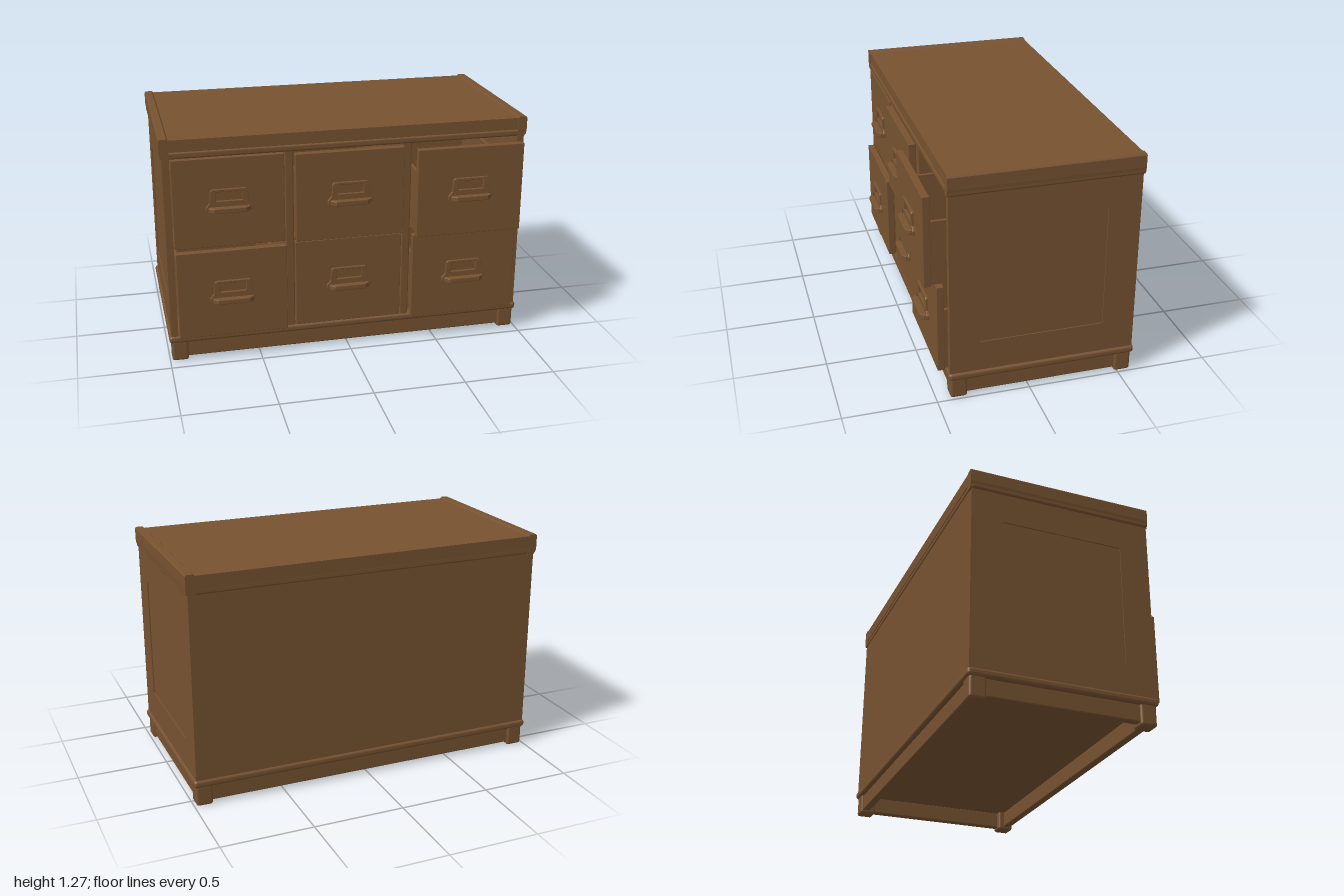
import * as THREE from 'three';
import { RoundedBoxGeometry } from 'three/addons/geometries/RoundedBoxGeometry.js';

const wood = new THREE.MeshStandardMaterial({ color: 0x765230 });
wood.name = 'brown wood';

const BACK = -0.575, FRONT = 0.428;

function add(parent, name, geometry, x = 0, y = 0, z = 0) {
  const mesh = new THREE.Mesh(geometry, wood);
  mesh.name = name;
  mesh.position.set(x, y, z);
  parent.add(mesh);
  return mesh;
}

// Box given by its limits, with optional rounded edges
function block(parent, name, [x0, x1], [y0, y1], [z0, z1], radius = 0) {
  const size = [x1 - x0, y1 - y0, z1 - z0];
  const geometry = radius
    ? new RoundedBoxGeometry(...size, 3, radius)
    : new THREE.BoxGeometry(...size);
  return add(parent, name, geometry, (x0 + x1) / 2, (y0 + y1) / 2, (z0 + z1) / 2);
}

const shapeOf = (points) => new THREE.Shape(points.map(([x, y]) => new THREE.Vector2(x, y)));
const extrude = (shape, depth, bevel = 0) => new THREE.ExtrudeGeometry(shape, {
  depth, bevelEnabled: bevel > 0, bevelSize: bevel, bevelThickness: bevel, bevelSegments: 2, bevelOffset: -bevel,
});

// Label frame with a flared pull; the origin is on the drawer face
function createHandle() {
  const handle = new THREE.Group();
  handle.name = 'handle';
  const frame = shapeOf([[-0.125, 0], [0.125, 0], [0.125, 0.022], [0.105, 0.045], [0.1, 0.11],
    [0.09, 0.12], [-0.09, 0.12], [-0.1, 0.11], [-0.105, 0.045], [-0.125, 0.022]]);
  frame.holes.push(shapeOf([[-0.07, 0.055], [-0.07, 0.105], [0.07, 0.105], [0.07, 0.055]]));
  add(handle, 'labelFrame', extrude(frame, 0.01, 0.003));

  // Cup above the grip, sloping out from the frame
  const cup = shapeOf([[0, 0.05], [0.018, 0.045], [0.022, 0.02], [0.022, 0], [0, 0]]);
  add(handle, 'pullCup', extrude(cup, 0.18).rotateY(-Math.PI / 2).translate(0.09, 0, 0)
    .scale(-1, 1, 1).rotateY(0), 0, 0, 0).visible = true;

  // Grip lip, narrower toward its outer edge
  const lip = shapeOf([[-0.115, 0], [0.115, 0], [0.11, 0.025], [0.085, 0.045], [-0.085, 0.045], [-0.11, 0.025]]);
  add(handle, 'pullLip', extrude(lip, 0.02, 0.004).rotateX(Math.PI / 2), 0, 0.02, 0);
  return handle;
}

// Open-topped drawer; the origin is at the bottom centre of its front face
function createDrawer() {
  const drawer = new THREE.Group();
  drawer.name = 'drawer';
  const w = 0.297, inner = 0.28, t = 0.018, deep = -0.9, h = 0.35;
  block(drawer, 'drawerFront', [-w, w], [0, 0.494], [-0.038, 0], 0.003);
  for (const s of [-1, 1]) {
    const xs = s < 0 ? [-inner, -inner + t] : [inner - t, inner];
    block(drawer, 'drawerSide', xs, [0, h], [deep, -0.037]);
  }
  block(drawer, 'drawerBottom', [-inner + t, inner - t], [0.005, 0.02], [deep, -0.037]);
  block(drawer, 'drawerBack', [-inner + t, inner - t], [0.02, h], [deep, deep + t]);
  const handle = createHandle();
  handle.position.y = 0.205;
  drawer.add(handle);
  return drawer;
}

// Side wall with a shallow recessed panel
function createSide(s) {
  const side = new THREE.Group();
  side.name = s > 0 ? 'leftSide' : 'rightSide';
  const wall = shapeOf([[BACK, 0.14], [FRONT, 0.14], [FRONT, 1.17], [BACK, 1.17]]);
  wall.holes.push(shapeOf([[-0.4, 0.32], [-0.4, 0.995], [0.265, 0.995], [0.265, 0.32]]));
  // Shape x runs along world z
  const geometry = extrude(wall, 0.038).rotateY(-Math.PI / 2);
  add(side, 'sideFrame', geometry, s > 0 ? 0.988 : -0.95);
  block(side, 'sidePanel', s > 0 ? [0.952, 0.982] : [-0.982, -0.952], [0.31, 1.005], [-0.41, 0.275]);

  // Moulded rail capping the side
  const rail = shapeOf([[0.95, 1.158], [0.985, 1.158], [0.997, 1.175], [1, 1.2], [1, 1.262],
    [0.994, 1.27], [0.958, 1.27], [0.95, 1.262]].map(([x, y]) => [s * x, y]));
  add(side, 'topRail', extrude(rail, 1.017), 0, 0, -0.583);
  return side;
}

export function createModel() {
  const model = new THREE.Group();
  model.name = 'drawerCabinet';

  // Carcass
  for (const s of [-1, 1]) {
    model.add(createSide(s));
    block(model, 'divider', [s * 0.325 - 0.024, s * 0.325 + 0.024], [0.14, 1.17], [BACK + 0.02, FRONT], 0.008);
  }
  block(model, 'backPanel', [-0.96, 0.96], [0.14, 1.17], [BACK, BACK + 0.02]);
  block(model, 'shelf', [-0.96, 0.96], [0.649, 0.659], [BACK + 0.02, 0.385]);
  block(model, 'topSlab', [-0.955, 0.955], [1.19, 1.262], [-0.583, FRONT]);
  block(model, 'topMoulding', [-0.998, 0.998], [1.16, 1.198], [-0.58, 0.434], 0.012);

  // Base
  block(model, 'baseMoulding', [-1, 1], [0.11, 0.152], [-0.585, 0.436], 0.016);
  for (const z of [[BACK + 0.015, BACK + 0.06], [0.368, 0.413]])
    block(model, 'plinthRail', [-0.92, 0.92], [0.018, 0.115], z, 0.008);
  for (const x of [[-0.975, -0.93], [0.93, 0.975]])
    block(model, 'plinthSide', x, [0.018, 0.115], [-0.5, 0.35], 0.008);
  for (const x of [[-0.988, -0.898], [0.898, 0.988]])
    for (const z of [[-0.573, -0.483], [0.335, 0.425]])
      block(model, 'foot', x, [0, 0.12], z, 0.014);

  // Drawers, each pulled out by its own amount: [lower, upper] per column
  const faces = [[0.47, 0.434], [0.437, 0.466], [0.482, 0.545]];
  faces.forEach((column, i) => column.forEach((z, row) => {
    const drawer = createDrawer();
    drawer.position.set((i - 1) * 0.648, row ? 0.66 : 0.154, z);
    model.add(drawer);
  }));
  return model;
}
